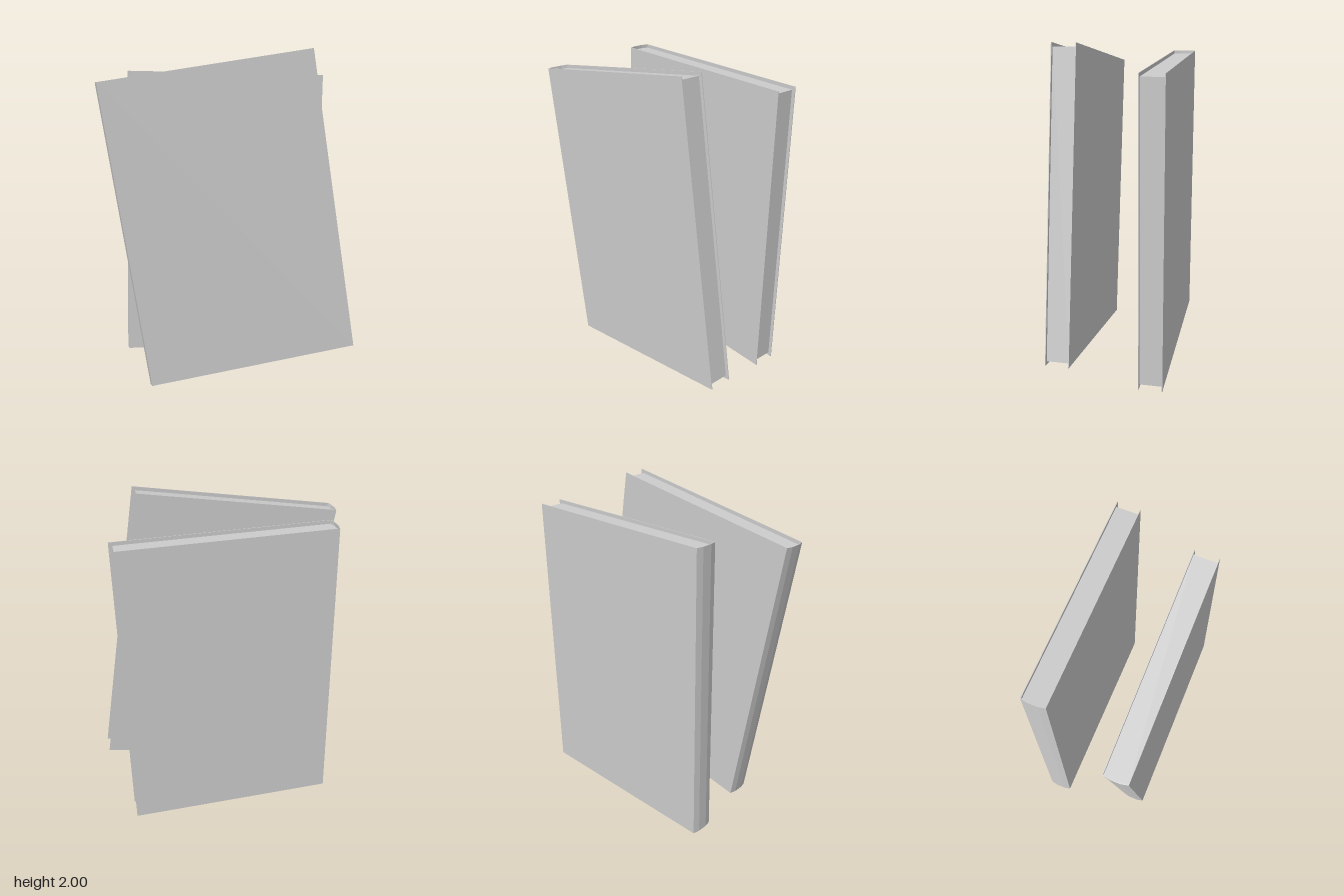
import * as THREE from 'three';

const material = new THREE.MeshStandardMaterial({ color: 0xcccccc, flatShading: true });
const HALF_W = 0.635, HALF_H = 0.9115, HALF_T = 0.071;
const BOARD = 0.004, INSET = 0.021, BULGE = 0.009;

// Rounded back of the book: x of the faceted spine, z across the thickness
const spineCurve = (shift, half) => [
  [-HALF_W + BULGE + shift, half],
  [-HALF_W + shift, 0.43 * half],
  [-HALF_W + shift, -0.43 * half],
  [-HALF_W + BULGE + shift, -half],
].map(([x, y]) => new THREE.Vector2(x, y));

// Extrude a horizontal section upwards, centred on its height
function upright(points, halfHeight, name) {
  const geometry = new THREE.ExtrudeGeometry(new THREE.Shape(points), {
    depth: 2 * halfHeight, bevelEnabled: false,
  });
  geometry.translate(0, 0, -halfHeight).rotateX(-Math.PI / 2);
  const mesh = new THREE.Mesh(geometry, material);
  mesh.name = name;
  return mesh;
}

function createBook(name) {
  const book = new THREE.Group();
  book.name = name;
  const inner = HALF_T - BOARD;

  // Two boards and the spine as one thin C-shaped section
  const cover = upright([
    new THREE.Vector2(HALF_W, HALF_T),
    ...spineCurve(0, HALF_T),
    new THREE.Vector2(HALF_W, -HALF_T),
    new THREE.Vector2(HALF_W, -inner),
    ...spineCurve(BOARD, inner).reverse(),
    new THREE.Vector2(HALF_W, inner),
  ], HALF_H, 'cover');

  // Page block, set back from the three open edges of the cover
  const pages = upright([
    new THREE.Vector2(HALF_W - INSET, inner),
    ...spineCurve(BOARD, inner),
    new THREE.Vector2(HALF_W - INSET, -inner),
  ], HALF_H - INSET, 'pages');

  book.add(cover, pages);
  return book;
}

export function createModel() {
  const model = new THREE.Group();
  model.name = 'books';

  const front = createBook('frontBook');
  front.position.set(0, 1, 0.261);
  front.rotation.z = THREE.MathUtils.degToRad(9.05);

  const back = createBook('backBook');
  back.position.set(0.034, 0.965, -0.261);
  back.rotation.z = THREE.MathUtils.degToRad(-0.95);

  model.add(front, back);
  return model;
}
